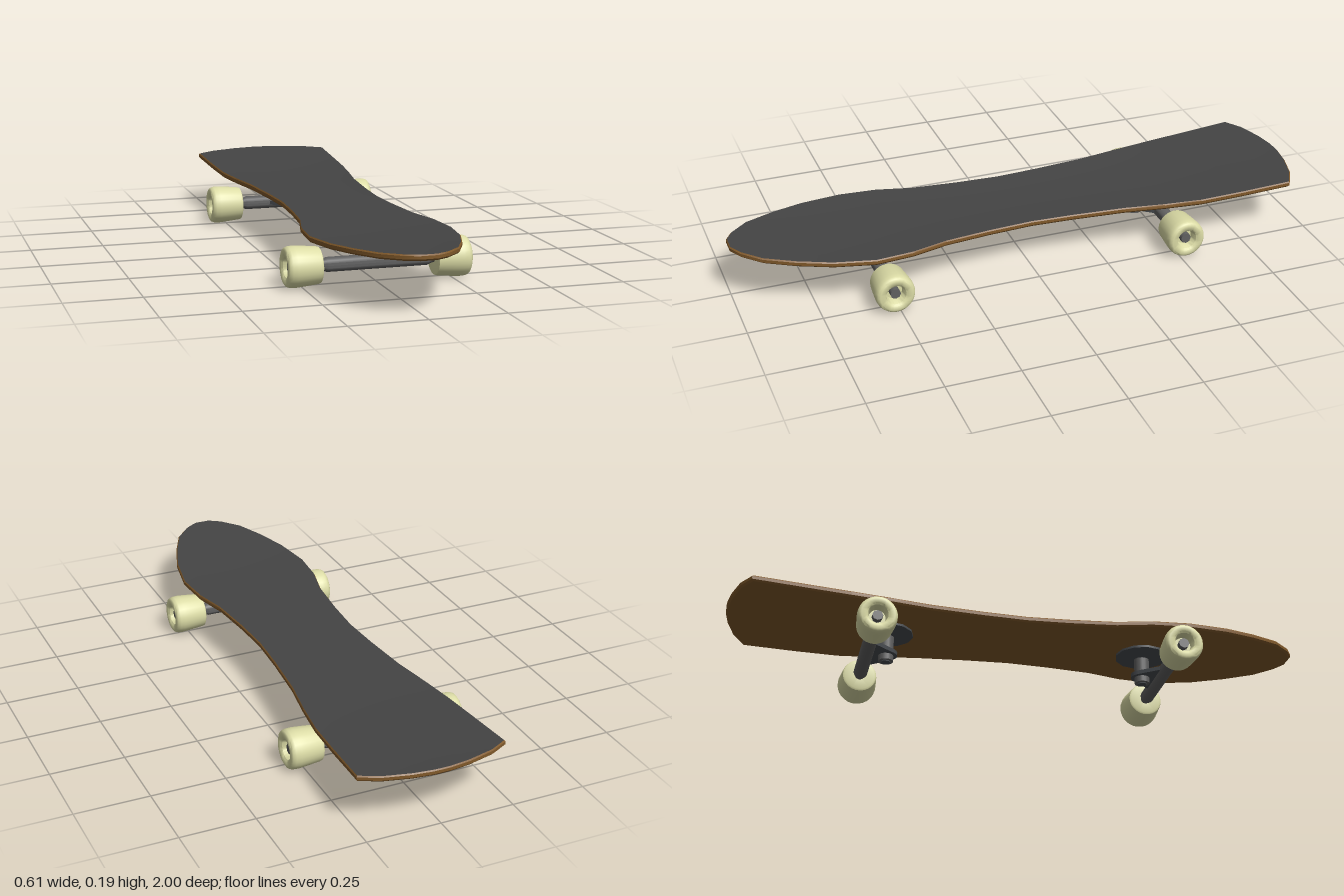
import * as THREE from 'three';
import { toCreasedNormals } from 'three/addons/utils/BufferGeometryUtils.js';

const mat = (color) => new THREE.MeshStandardMaterial({ color });
const GRIP = mat(0x444444), WOOD = mat(0x80592a), METAL = mat(0x606060), PLATE = mat(0x484c50), RUBBER = mat(0xdcdca6);

// Deck outline from tail to nose: [z, half width]
const OUTLINE = [
  [-1, 0.03], [-0.99, 0.1], [-0.965, 0.19], [-0.93, 0.252], [-0.75, 0.245], [-0.6, 0.237],
  [-0.47, 0.22], [-0.33, 0.197], [-0.15, 0.181], [0, 0.173], [0.15, 0.181], [0.31, 0.197],
  [0.43, 0.227], [0.56, 0.237], [0.7, 0.213], [0.81, 0.175], [0.91, 0.128], [0.97, 0.072], [0.995, 0.03],
];
const THICK = 0.02;

function mesh(name, geometry, material, x = 0, y = 0, z = 0) {
  const m = new THREE.Mesh(geometry, material);
  m.name = name;
  m.position.set(x, y, z);
  return m;
}

// Surface through equally long rows of points
function surface(rows) {
  const n = rows[0].length, index = [];
  for (let i = 0; i < rows.length - 1; i++) {
    for (let j = 0; j < n - 1; j++) {
      const a = i * n + j, b = a + n;
      index.push(a, b, a + 1, b, b + 1, a + 1);
    }
  }
  const g = new THREE.BufferGeometry();
  g.setAttribute('position', new THREE.Float32BufferAttribute(rows.flat(2), 3));
  g.setIndex(index);
  g.computeVertexNormals();
  return toCreasedNormals(g, 0.6);
}

// Point on the deck: u runs -1..1 across, drop goes down from the top face
function deckPoint([z, w], u, drop, inset) {
  const t = Math.max(0, (Math.abs(z) - 0.56) / 0.44);
  const y = 0.165 + 0.03 * t ** 1.15 + 0.007 * u * u * (1 - t) - drop;
  return [u * (w - inset), y, z * (1 - inset)];
}

function createDeck() {
  const deck = new THREE.Group();
  deck.name = 'deck';
  const across = Array.from({ length: 9 }, (_, i) => -1 + i / 4);
  const face = (us, drop, inset) => surface(OUTLINE.map((s) => us.map((u) => deckPoint(s, u, drop, inset))));
  deck.add(mesh('gripTop', face(across, 0, 0.003), GRIP));
  deck.add(mesh('deckUnderside', face([...across].reverse(), THICK, 0.005), WOOD));

  // Rim: once around the outline at four heights
  const right = [...OUTLINE].reverse().map((s) => [s, 1]);
  const left = OUTLINE.map((s) => [s, -1]);
  const loop = [...right, ...left, right[0]];
  const levels = [[0, 0.003], [0.004, 0], [0.014, 0], [THICK, 0.005]];
  deck.add(mesh('deckRim', surface(levels.map(([d, inset]) => loop.map(([s, u]) => deckPoint(s, u, d, inset)))), WOOD));
  return deck;
}

const lathe = (points, sides) =>
  toCreasedNormals(new THREE.LatheGeometry(points.map(([r, h]) => new THREE.Vector2(r, h)), sides), 0.7);

function createWheel(side) {
  const wheel = new THREE.Group();
  wheel.name = side > 0 ? 'leftWheel' : 'rightWheel';
  wheel.add(mesh('tyre', lathe([
    [0.012, 0.192], [0.052, 0.19], [0.058, 0.193], [0.06, 0.2], [0.065, 0.25], [0.067, 0.275],
    [0.066, 0.292], [0.062, 0.302], [0.055, 0.306], [0.04, 0.305], [0.034, 0.3], [0.028, 0.27], [0.001, 0.27],
  ], 28), RUBBER));
  wheel.add(mesh('axleNut', new THREE.CylinderGeometry(0.018, 0.018, 0.024, 8), METAL, 0, 0.28, 0));
  wheel.rotation.z = -side * Math.PI / 2;
  return wheel;
}

// Truck with its axle at the local origin, kingpin towards -z
function createTruck(name) {
  const truck = new THREE.Group();
  truck.name = name;
  const pinZ = -0.066;
  const axle = mesh('axle', lathe([
    [0.001, -0.28], [0.012, -0.28], [0.012, -0.2], [0.017, -0.19], [0.017, -0.184], [0.024, -0.168],
    [0.024, 0.168], [0.017, 0.184], [0.017, 0.19], [0.012, 0.2], [0.012, 0.28], [0.001, 0.28],
  ], 18), METAL);
  axle.rotation.z = Math.PI / 2;
  truck.add(axle);

  truck.add(mesh('basePlate', lathe([
    [0.001, 0.062], [0.04, 0.062], [0.092, 0.071], [0.092, 0.079], [0.001, 0.079],
  ], 12), PLATE, 0, 0, pinZ));
  truck.add(mesh('kingpin', new THREE.CylinderGeometry(0.026, 0.026, 0.094, 18), METAL, 0, 0.019, pinZ));

  // Thin triangular hanger from the axle to the kingpin
  const shape = new THREE.Shape();
  shape.moveTo(-0.1, 0);
  shape.lineTo(0.1, 0);
  shape.lineTo(0.03, 0.09);
  shape.quadraticCurveTo(0, 0.12, -0.03, 0.09);
  const hanger = new THREE.ExtrudeGeometry(shape, { depth: 0.014, bevelEnabled: false });
  hanger.rotateX(-Math.PI / 2);
  truck.add(mesh('hanger', hanger, PLATE, 0, -0.007, 0));
  truck.add(mesh('kingpinNut', new THREE.CylinderGeometry(0.017, 0.017, 0.012, 6), PLATE, 0, -0.026, pinZ));

  for (const side of [-1, 1]) truck.add(createWheel(side));
  return truck;
}

export function createModel() {
  const model = new THREE.Group();
  model.name = 'skateboard';
  model.add(createDeck());
  const front = createTruck('frontTruck');
  front.position.set(0, 0.067, 0.516);
  const back = createTruck('backTruck');
  back.position.set(0, 0.067, -0.52);
  back.rotation.y = Math.PI;
  model.add(front, back);
  return model;
}
